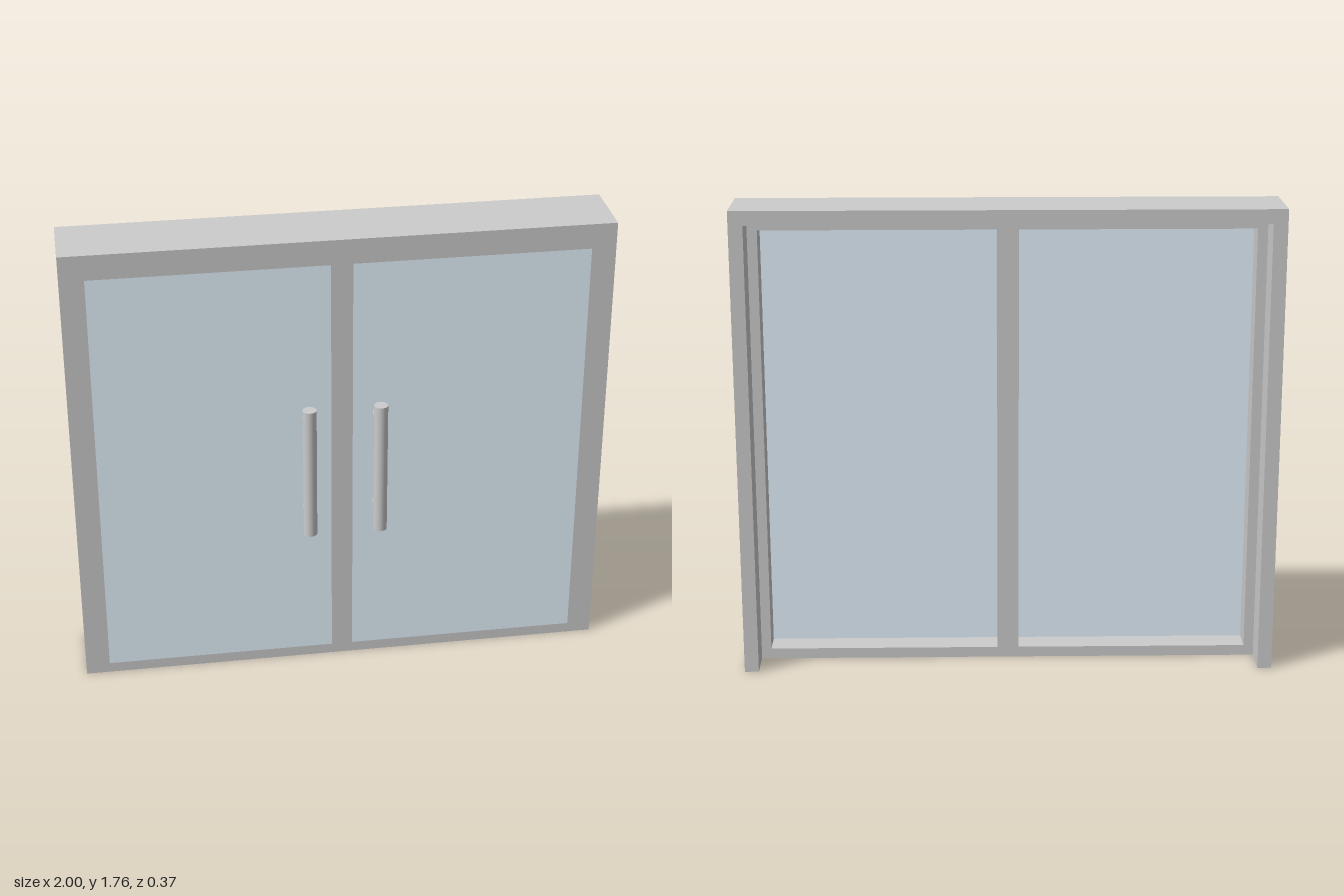
import * as THREE from 'three';

const grey = new THREE.MeshStandardMaterial({ color: 0xcccccc });
const glassMat = new THREE.MeshStandardMaterial({ color: 0xe6f4fe });

const H = 1.765, BACK = -0.185, FRONT = 0.08;
const JAMB = 0.053;                  // surround thickness
const SASH_BACK = -0.055, GLASS_BACK = 0.045;
const PANE = { x0: 0.04, x1: 0.91, y0: 0.04, y1: 1.67 };

function polygon(points, Type = THREE.Shape) {
  return new Type(points.map(([x, y]) => new THREE.Vector2(x, y)));
}

function addMesh(parent, name, geometry, material, x = 0, y = 0, z = 0) {
  const mesh = new THREE.Mesh(geometry, material);
  mesh.name = name;
  mesh.position.set(x, y, z);
  parent.add(mesh);
  return mesh;
}

const extrude = (shape, depth) => new THREE.ExtrudeGeometry(shape, { depth, bevelEnabled: false });

// Bar handle on two standoffs
function createHandle() {
  const handle = new THREE.Group();
  addMesh(handle, 'handleBar', new THREE.CylinderGeometry(0.026, 0.026, 0.525, 32), grey, 0, 0.8725, 0.159);
  for (const y of [0.685, 1.06]) {
    const post = new THREE.CylinderGeometry(0.018, 0.018, 0.08, 24).rotateX(Math.PI / 2);
    addMesh(handle, 'handlePost', post, grey, 0, y, FRONT + 0.04);
  }
  return handle;
}

export function createModel() {
  const model = new THREE.Group();
  model.name = 'doubleDoor';

  // Surround: two jambs and a head, open at the floor
  const inX = 1 - JAMB, inY = H - JAMB;
  const surround = polygon([
    [-1, 0], [-inX, 0], [-inX, inY], [inX, inY], [inX, 0], [1, 0], [1, H], [-1, H],
  ]);
  addMesh(model, 'surround', extrude(surround, FRONT - BACK), grey, 0, 0, BACK);

  // Door frame with two pane openings
  const sash = polygon([[-inX, 0], [inX, 0], [inX, inY], [-inX, inY]]);
  for (const s of [-1, 1]) {
    sash.holes.push(polygon([
      [s * PANE.x0, PANE.y0], [s * PANE.x0, PANE.y1], [s * PANE.x1, PANE.y1], [s * PANE.x1, PANE.y0],
    ], THREE.Path));
  }
  addMesh(model, 'doorFrame', extrude(sash, FRONT - SASH_BACK), grey, 0, 0, SASH_BACK);

  // Panes flush with the front, and handles, mirrored left and right
  for (const [s, side] of [[1, 'left'], [-1, 'right']]) {
    const pane = new THREE.BoxGeometry(PANE.x1 - PANE.x0, PANE.y1 - PANE.y0, FRONT - GLASS_BACK);
    addMesh(model, side + 'Glass', pane, glassMat,
      s * (PANE.x0 + PANE.x1) / 2, (PANE.y0 + PANE.y1) / 2, (GLASS_BACK + FRONT) / 2);

    const handle = createHandle();
    handle.name = side + 'Handle';
    handle.position.x = s * 0.132;
    model.add(handle);
  }
  return model;
}
